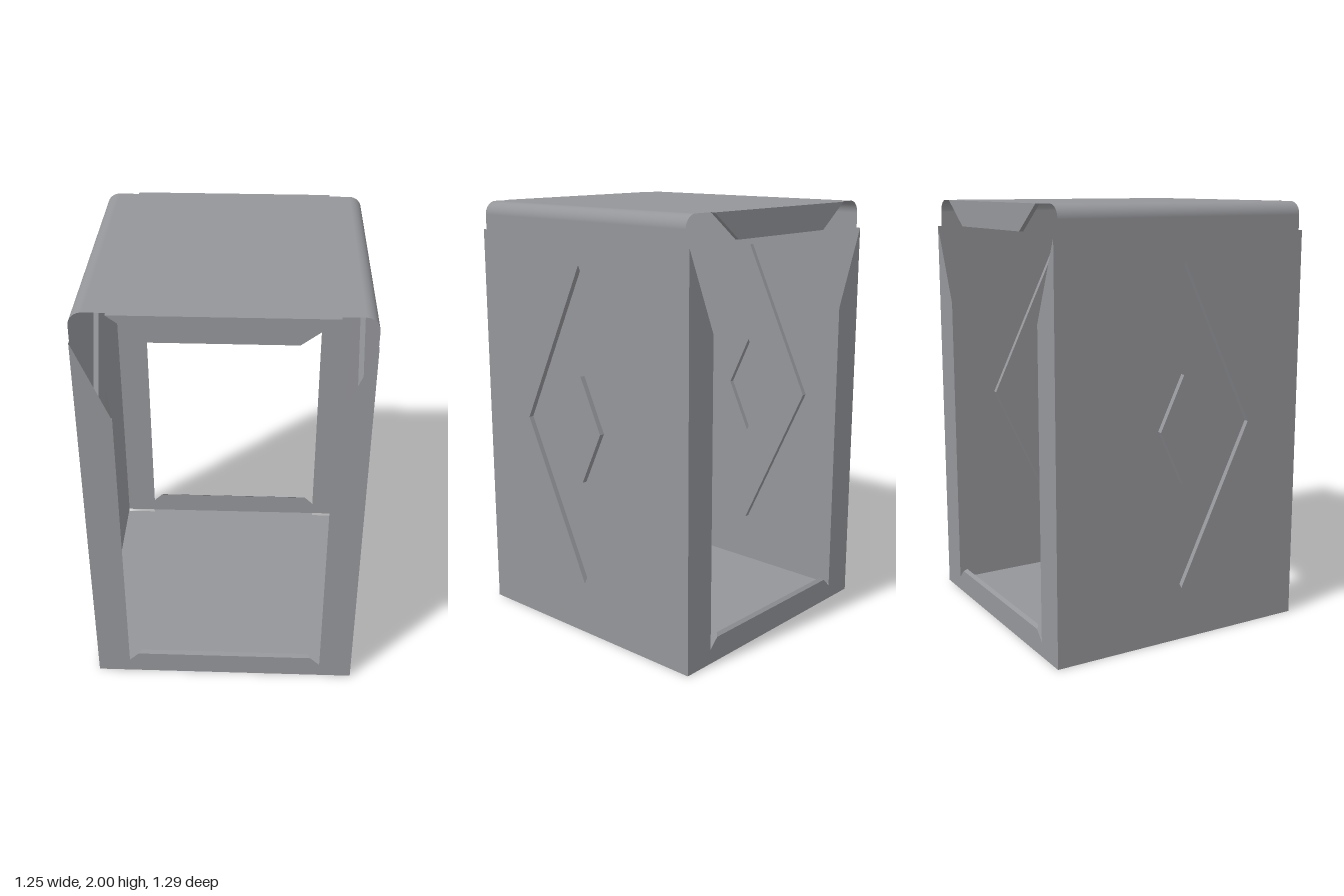
import * as THREE from 'three';

export function createModel() {
  const root = new THREE.Group();
  const steel = new THREE.MeshStandardMaterial({ color: 0x95969a, side: THREE.DoubleSide });
  steel.name = 'grey sheet metal';

  const X = 0.625, Z = 0.645, NOTCH = 0.625, TOP = 2, R = 0.06, PRESS = 0.024;

  function add(parent, name, geo) {
    const mesh = new THREE.Mesh(geo, steel);
    mesh.name = name;
    parent.add(mesh);
    return mesh;
  }
  const vec = (pts) => pts.map(([a, b]) => new THREE.Vector2(a, b));
  // flat sheet from an outline, with optional openings
  function sheet(outline, ...holes) {
    const shape = new THREE.Shape(vec(outline));
    holes.forEach((h) => shape.holes.push(new THREE.Path(vec(h))));
    return new THREE.ShapeGeometry(shape);
  }
  const mirrored = (half) => [...half, ...half.slice().reverse().map(([a, b]) => [-a, b])];
  const diamond = (w, h) => [[w, 1], [0, 1 + h], [-w, 1], [0, 1 - h]];
  // four-sided rim joining two pressed levels, running along x
  function diamondRim(w, h) {
    const g = new THREE.CylinderGeometry(1, 1, PRESS, 4, 1, true).toNonIndexed();
    g.rotateZ(Math.PI / 2);
    g.scale(1, h, w);
    g.translate(0, 1, 0);
    g.computeVertexNormals();
    return g;
  }

  // side walls with pressed diamonds
  const big = diamond(0.36, 0.75), small = diamond(0.12, 0.25);
  const wallOutline = mirrored([[Z, 0], [Z, 1.87], [NOTCH, 1.87], [NOTCH, TOP - R]]);
  for (const s of [1, -1]) {
    const wall = new THREE.Group();
    wall.name = s > 0 ? 'leftWall' : 'rightWall';
    root.add(wall);
    const place = (name, geo, x) => {
      geo.rotateY(s * Math.PI / 2);
      geo.translate(s * x, 0, 0);
      add(wall, name, geo);
    };
    place('wallSheet', sheet(wallOutline, big), X);
    place('pressedDiamond', sheet(big, small), X - PRESS);
    place('innerDiamond', sheet(small), X);
    for (const [w, h] of [[0.36, 0.75], [0.12, 0.25]]) {
      add(wall, 'diamondRim', diamondRim(w, h)).position.x = s * (X - PRESS / 2);
    }
    // slanted flanges on the front and back edges
    for (const f of [1, -1]) {
      const g = sheet([[X, 0], [X, 1.87], [0.47, 1.5], [0.47, 0]].map(([x, y]) => [x * s * f, y]));
      if (f < 0) g.rotateY(Math.PI);
      g.translate(0, 0, f * Z);
      add(wall, f > 0 ? 'frontFlange' : 'backFlange', g);
    }
    // rounded bend into the top
    const bend = new THREE.CylinderGeometry(R, R, 2 * NOTCH, 12, 1, true,
      s > 0 ? Math.PI / 2 : Math.PI, Math.PI / 2);
    bend.rotateX(Math.PI / 2);
    bend.translate(s * (X - R), TOP - R, 0);
    add(wall, 'topBend', bend);
  }

  // top and floor sheets, notched at the corners
  function plate(w) {
    const a = [[w, NOTCH], [0.47, NOTCH], [0.47, Z]];
    const upper = mirrored(a);
    return sheet([...upper, ...upper.slice().reverse().map(([x, z]) => [x, -z])]);
  }
  const top = plate(X - R);
  top.rotateX(-Math.PI / 2);
  add(root, 'top', top).position.y = TOP;
  const floor = plate(X);
  floor.rotateX(Math.PI / 2);
  add(root, 'floor', floor);

  // front and back flanges of the top and floor
  for (const f of [1, -1]) {
    const end = new THREE.Group();
    end.name = f > 0 ? 'frontEnd' : 'backEnd';
    end.rotation.y = f > 0 ? 0 : Math.PI;
    root.add(end);

    const lip = new THREE.ExtrudeGeometry(
      new THREE.Shape(vec([[-0.47, TOP], [-0.31, 1.88], [0.31, 1.88], [0.47, TOP]])),
      { depth: Z - NOTCH, bevelEnabled: false });
    add(end, 'topFlange', lip).position.z = NOTCH;

    add(end, 'floorFlange', sheet(mirrored([[0.47, 0], [0.47, 0.07], [0.424, 0.115]])))
      .position.z = Z;

    // narrow hem leaning inward along the floor flange
    const hem = new THREE.BufferGeometry();
    hem.setAttribute('position', new THREE.Float32BufferAttribute([
      -0.424, 0.115, Z, 0.424, 0.115, Z, 0.41, 0.128, Z - 0.015, -0.41, 0.128, Z - 0.015], 3));
    hem.setIndex([0, 1, 2, 0, 2, 3]);
    hem.computeVertexNormals();
    add(end, 'floorHem', hem);
  }
  return root;
}
